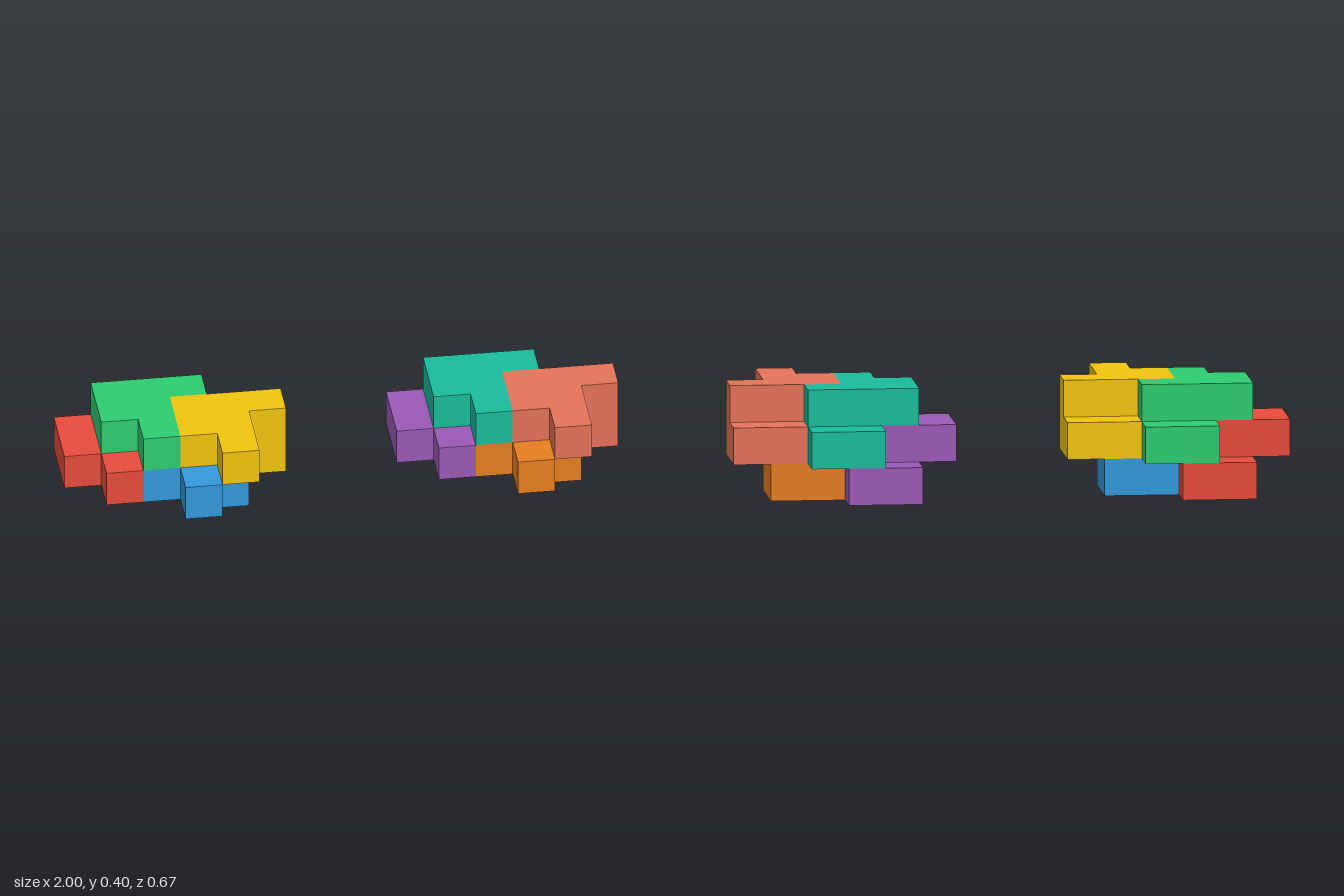
import * as THREE from 'three';
import { mergeGeometries } from 'three/addons/utils/BufferGeometryUtils.js';

const U = 2 / 15; // edge of one cube

// Cells of each interlocking piece, written as 'xyz' grid positions
const PIECES = {
  lowerBackPiece: '100 200 201 011 012 111 211 112 113',
  lowerFrontPiece: '314 313 213 312 212 412 402 401 301',
  upperBackPiece: '121 221 321 122 222 223 210 310 311',
  upperFrontPiece: '424 323 423 322 422 522 512 511 411',
};

// Outward direction of each cube side with the turn that points a plane that way
const SIDES = [
  [1, 0, 0, 0, Math.PI / 2], [-1, 0, 0, 0, -Math.PI / 2],
  [0, 1, 0, -Math.PI / 2, 0], [0, -1, 0, Math.PI / 2, 0],
  [0, 0, 1, 0, 0], [0, 0, -1, 0, Math.PI],
];

// Outer skin of a group of unit cells: sides shared by two cells are left out
function pieceGeometry(text) {
  const cells = text.split(' ').map((c) => [...c].map(Number));
  const filled = new Set(cells.map(String));
  const faces = [];
  for (const [x, y, z] of cells) {
    for (const [dx, dy, dz, rx, ry] of SIDES) {
      if (filled.has(String([x + dx, y + dy, z + dz]))) continue;
      faces.push(new THREE.PlaneGeometry(U, U).rotateX(rx).rotateY(ry).translate(
        (x + 0.5 + dx / 2) * U,
        (y + 0.5 + dy / 2) * U,
        (z + 0.5 + dz / 2 - 2.5) * U,
      ));
    }
  }
  return mergeGeometries(faces);
}

// Four pieces locked together, starting at the given x
function cluster(name, x, colors) {
  const group = new THREE.Group();
  group.name = name;
  Object.entries(PIECES).forEach(([piece, cells], i) => {
    const mesh = new THREE.Mesh(
      pieceGeometry(cells),
      new THREE.MeshStandardMaterial({ color: colors[i] }),
    );
    mesh.name = piece;
    group.add(mesh);
  });
  group.position.x = x;
  return group;
}

export function createModel() {
  const model = new THREE.Group();
  model.name = 'interlockingBlocks';
  model.add(
    cluster('rightCluster', -1, [0xe74c3c, 0x3498db, 0x2ecc71, 0xf1c40f]),
    cluster('leftCluster', -1 + 9 * U, [0x9b59b6, 0xe67e22, 0x1abc9c, 0xe57359]),
  );
  return model;
}
